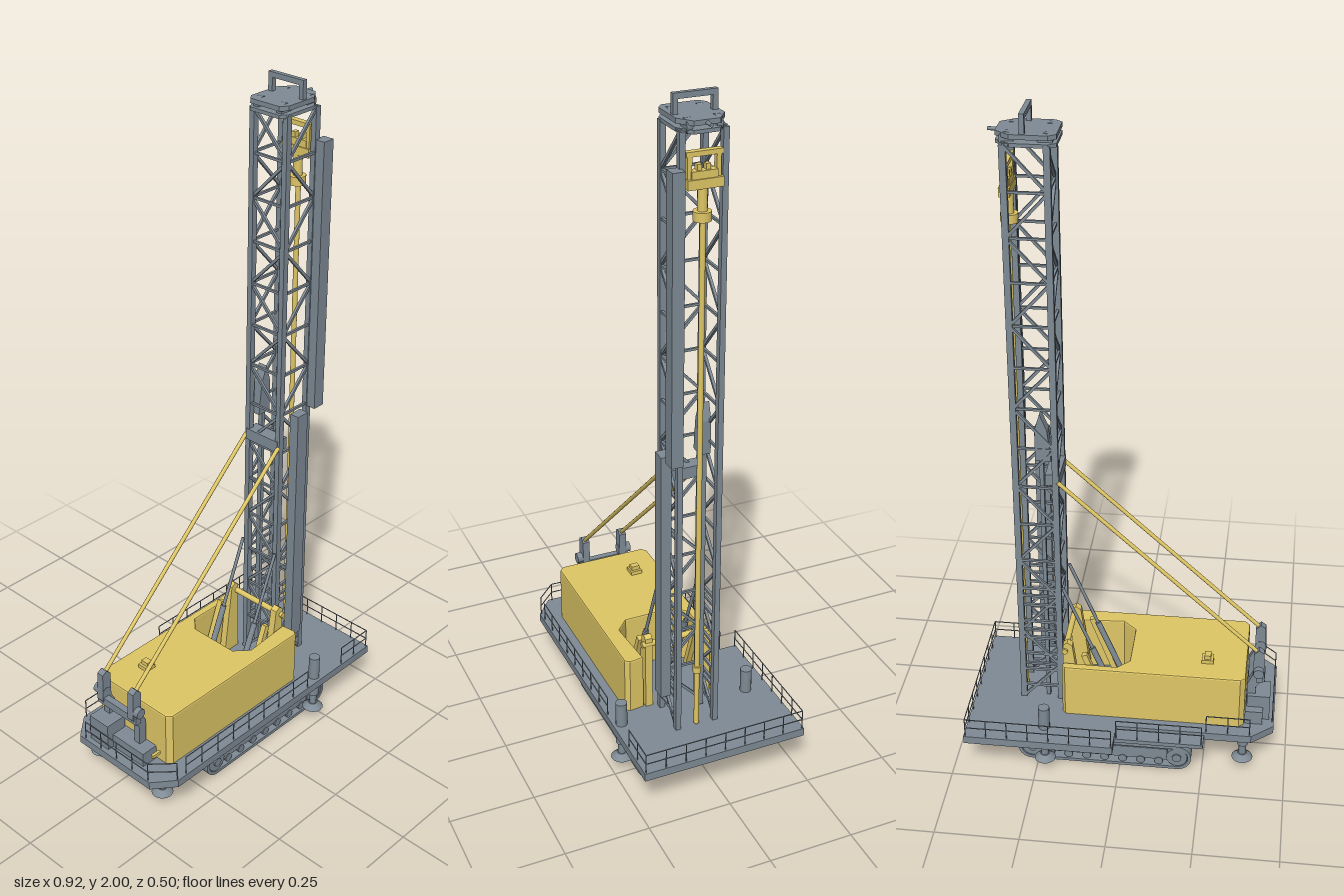
import * as THREE from 'three';
import { mergeGeometries } from 'three/addons/utils/BufferGeometryUtils.js';

const grey = new THREE.MeshStandardMaterial({ color: 0x7f8b95, side: THREE.DoubleSide });
const yellow = new THREE.MeshStandardMaterial({ color: 0xdfc766 });
const V = (x, y, z) => new THREE.Vector3(x, y, z);

// box given by its min / max along each axis
function box(x0, x1, y0, y1, z0, z1) {
  return new THREE.BoxGeometry(x1 - x0, y1 - y0, z1 - z0)
    .translate((x0 + x1) / 2, (y0 + y1) / 2, (z0 + z1) / 2);
}
function along(geo, a, b) {
  const dir = b.clone().sub(a).normalize();
  geo.applyQuaternion(new THREE.Quaternion().setFromUnitVectors(V(0, 1, 0), dir));
  const m = a.clone().add(b).multiplyScalar(0.5);
  return geo.translate(m.x, m.y, m.z);
}
const bar = (a, b, w) => along(new THREE.BoxGeometry(w, a.distanceTo(b), w), a, b);
const rod = (a, b, r, n = 10) => along(new THREE.CylinderGeometry(r, r, a.distanceTo(b), n), a, b);
const shapeOf = (pts, sign = 1) => new THREE.Shape(pts.map(([x, y]) => new THREE.Vector2(x, sign * y)));

// plan outline [x, z] raised from y0 to y1
function slab(pts, y0, y1, bevel = 0) {
  const g = new THREE.ExtrudeGeometry(shapeOf(pts, -1), {
    depth: y1 - y0 - bevel, bevelEnabled: bevel > 0, bevelSize: bevel, bevelThickness: bevel,
    bevelOffset: -bevel, bevelSegments: 2,
  });
  return g.rotateX(-Math.PI / 2).translate(0, y0, 0);
}
// side outline [x, y] between z0 and z1
function plate(pts, z0, z1) {
  return new THREE.ExtrudeGeometry(shapeOf(pts), { depth: z1 - z0, bevelEnabled: false }).translate(0, 0, z0);
}
function inset(pts, d) {
  const n = pts.length;
  return pts.map((p, i) => {
    const a = pts[(i + n - 1) % n], b = pts[(i + 1) % n];
    const u = new THREE.Vector2(p[0] - a[0], p[1] - a[1]).normalize();
    const v = new THREE.Vector2(b[0] - p[0], b[1] - p[1]).normalize();
    const k = d / (1 + u.dot(v));
    return [p[0] - (u.y + v.y) * k, p[1] + (u.x + v.x) * k];
  });
}
// wall joining two outlines at different heights
function skirt(top, yt, low, yl) {
  const pos = [];
  top.forEach((p, i) => {
    const j = (i + 1) % top.length;
    const a = [p[0], yt, p[1]], b = [top[j][0], yt, top[j][1]];
    const c = [low[j][0], yl, low[j][1]], d = [low[i][0], yl, low[i][1]];
    pos.push(...a, ...b, ...c, ...a, ...c, ...d);
  });
  const g = new THREE.BufferGeometry();
  g.setAttribute('position', new THREE.Float32BufferAttribute(pos, 3));
  g.computeVertexNormals();
  return g;
}

export function createModel() {
  const model = new THREE.Group();
  model.name = 'drillRig';
  const add = (name, geos, mat) => {
    const flat = geos.map((g) => {
      const f = g.index ? g.toNonIndexed() : g;
      f.deleteAttribute('uv');
      return f;
    });
    const mesh = new THREE.Mesh(mergeGeometries(flat), mat);
    mesh.name = name;
    model.add(mesh);
  };
  const ZC = 0.02, ZL = 0.08, ZR = -0.04;

  // deck with a tapered skirt, open below, and its cross beams
  const outline = [[-0.46, -0.1], [-0.395, -0.155], [0.01, -0.155], [0.01, -0.255],
    [0.457, -0.255], [0.457, 0.243], [-0.395, 0.243], [-0.46, 0.19]];
  add('deck', [slab(outline, 0.13, 0.155), skirt(outline, 0.13, inset(outline, 0.035), 0.105),
    box(-0.255, 0.01, 0.135, 0.148, -0.205, -0.158)], grey);
  add('deckBeams', [
    ...[-0.07, 0.11].map((z) => box(-0.42, 0.42, 0.105, 0.135, z - 0.012, z + 0.012)),
    ...[-0.3, -0.1, 0.1, 0.3].map((x) => box(x - 0.01, x + 0.01, 0.112, 0.135, x > 0.01 ? -0.21 : -0.12, 0.2))], grey);

  // hand rails: posts with two horizontal runs
  const rails = [];
  const runs = [
    [[-0.36, 0.238], [0.17, 0.238]], [[0.33, 0.238], [0.452, 0.238]], [[0.452, 0.238], [0.452, -0.25]],
    [[0.452, -0.25], [0.015, -0.25]], [[-0.455, -0.08], [-0.455, 0.18]], [[-0.455, 0.18], [-0.395, 0.238]],
    [[-0.25, -0.203], [0.005, -0.203]], [[-0.39, -0.15], [-0.26, -0.15]]];
  for (const [a, b] of runs) {
    const p = V(a[0], 0.15, a[1]), q = V(b[0], 0.15, b[1]);
    const n = Math.max(1, Math.round(p.distanceTo(q) / 0.065));
    for (let i = 0; i <= n; i++) {
      const c = p.clone().lerp(q, i / n);
      rails.push(rod(c, c.clone().setY(0.215), 0.0017, 5));
    }
    for (const y of [0.185, 0.215]) rails.push(rod(p.clone().setY(y), q.clone().setY(y), 0.0017, 5));
  }
  add('handRails', rails, grey);

  // machinery house with a pocket open towards the mast
  const house = [[-0.37, -0.1], [-0.355, -0.113], [0.17, -0.113], [0.18, -0.1], [0.175, -0.088], [0.015, -0.09],
    [-0.02, -0.055], [-0.02, 0.1], [0.02, 0.137], [0.175, 0.127], [0.18, 0.17], [0.17, 0.183], [-0.355, 0.183], [-0.37, 0.168]];
  add('machineryHouse', [slab(house, 0.155, 0.33, 0.005)], yellow);
  add('roofVent', [box(-0.27, -0.235, 0.33, 0.342, -0.045, -0.01), box(-0.262, -0.243, 0.34, 0.355, -0.04, -0.015)], yellow);

  // crawler tracks with wheels and side frames
  const xa = -0.174, xb = 0.269, R = 0.0435;
  const stadium = (r, Kind) => {
    const s = new Kind();
    s.absarc(xb, R, r, -Math.PI / 2, Math.PI / 2, false);
    s.absarc(xa, R, r, Math.PI / 2, Math.PI * 1.5, false);
    s.closePath();
    return s;
  };
  const tracks = [], frames = [];
  for (const z of [0.158, -0.122]) {
    const s = stadium(R, THREE.Shape);
    s.holes.push(stadium(R - 0.01, THREE.Path));
    tracks.push(new THREE.ExtrudeGeometry(s, { depth: 0.055, bevelEnabled: false, curveSegments: 12 }).translate(0, 0, z - 0.0275));
    for (const x of [xa, xb]) frames.push(rod(V(x, R, z - 0.025), V(x, R, z + 0.025), 0.032, 20), rod(V(x, R, z - 0.03), V(x, R, z + 0.03), 0.014, 12));
    for (let i = 1; i < 8; i++) {
      const x = xa + (xb - xa) * i / 8;
      frames.push(rod(V(x, 0.022, z - 0.022), V(x, 0.022, z + 0.022), 0.013, 12));
    }
    frames.push(box(xa + 0.03, xb - 0.03, 0.028, 0.068, z - 0.02, z + 0.02));
    frames.push(plate([[-0.1, 0.085], [0.2, 0.085], [0.17, 0.11], [-0.07, 0.11]], z - 0.018, z + 0.018));
  }
  add('tracks', tracks, grey);
  add('trackFrames', frames, grey);
  add('axles', [-0.05, 0.15].flatMap((x) => [box(x - 0.03, x + 0.03, 0.06, 0.1, -0.11, 0.145), box(x - 0.04, x + 0.04, 0.045, 0.11, ZC - 0.05, ZC + 0.05)]), grey);

  // levelling jacks
  const jacks = [];
  for (const [x, z, top] of [[0.224, 0.217, 0.23], [0.224, -0.183, 0.23], [-0.37, 0.15, 0.155], [-0.37, -0.11, 0.155]]) {
    jacks.push(rod(V(x, 0.09, z), V(x, top, z), 0.017, 14), rod(V(x, 0.045, z), V(x, 0.1, z), 0.011, 12));
    jacks.push(new THREE.CylinderGeometry(0.014, 0.032, 0.016, 16).translate(x, 0.046, z));
  }
  add('jacks', jacks, grey);

  // lattice mast: four chords, horizontals and zigzag diagonals
  const X0 = 0.194, X1 = 0.308, Y0 = 0.155, Y1 = 1.92, bays = 14;
  const chords = [], lacing = [];
  for (const x of [X0, X1]) for (const z of [ZL - 0.002, ZR + 0.002]) chords.push(box(x - 0.009, x + 0.009, Y0, Y1, z - 0.008, z + 0.008));
  const faces = [[X0, ZL, X1, ZL], [X0, ZR, X1, ZR], [X0, ZL, X0, ZR]];
  for (let i = 0; i < bays; i++) {
    const ya = Y0 + (Y1 - Y0) * i / bays, yb = Y0 + (Y1 - Y0) * (i + 1) / bays;
    for (const [ax, az, bx, bz] of faces) {
      lacing.push(bar(V(ax, yb, az), V(bx, yb, bz), 0.007));
      lacing.push(i % 2 ? bar(V(ax, ya, az), V(bx, yb, bz), 0.008) : bar(V(bx, ya, bz), V(ax, yb, az), 0.008));
    }
  }
  // denser lower section and the collar where the stays attach
  for (let y = 0.2; y < 0.62; y += 0.06) for (const z of [ZL, ZR]) lacing.push(bar(V(X0, y, z), V(X1, y, z), 0.008));
  lacing.push(box(X0 - 0.012, X0 + 0.03, 0.92, 0.955, ZR, ZL));
  add('mastChords', chords, grey);
  add('mastLacing', lacing, grey);

  // boxes beside the mast, the side carrier and the inner feed column
  add('mastBoxes', [box(0.302, 0.34, 1.03, 1.83, 0.08, 0.114), box(0.232, 0.274, 0.25, 1.03, 0.084, 0.114),
    plate([[0.205, 1], [0.25, 1], [0.25, 1.1], [0.235, 1.15], [0.215, 1.1]], -0.042, -0.012),
    box(0.228, 0.24, 0.16, 1.0, -0.035, -0.02)], grey);

  // crown platform with sheaves and an inverted U frame
  const crown = [[0.17, -0.03], [0.19, -0.045], [0.29, -0.045], [0.33, -0.015], [0.33, 0.055], [0.29, 0.085], [0.19, 0.085], [0.17, 0.07]];
  const head = [slab(crown, 1.915, 1.925), slab(crown, 1.935, 1.948), box(0.25, 0.264, 1.985, 2, ZR, ZL),
    rod(V(0.3, 1.94, ZC), V(0.355, 1.94, ZC), 0.005)];
  for (const z of [ZR + 0.007, ZL - 0.007]) head.push(box(0.25, 0.264, 1.945, 2, z - 0.007, z + 0.007));
  for (const x of [0.2, 0.3]) for (const z of [-0.02, 0.06]) head.push(rod(V(x, 1.93, z - 0.008), V(x, 1.93, z + 0.008), 0.02, 14));
  add('crown', head, grey);

  // drill pipe and rotary head
  add('drillPipe', [rod(V(0.312, 0.16, ZC), V(0.312, 1.72, ZC), 0.0075, 14), rod(V(0.312, 0.34, ZC), V(0.312, 0.36, ZC), 0.012, 14)], yellow);
  const rotary = [box(0.295, 0.325, 1.775, 1.8, -0.03, 0.067), box(0.298, 0.322, 1.8, 1.82, -0.015, 0.055),
    rod(V(0.308, 1.69, ZC), V(0.308, 1.715, ZC), 0.024, 14), rod(V(0.308, 1.71, ZC), V(0.308, 1.78, ZC), 0.013, 14),
    box(0.298, 0.316, 1.855, 1.868, -0.03, 0.067)];
  for (const z of [-0.02, 0.008, 0.032, 0.058]) rotary.push(box(0.3, 0.316, 1.8, z < 0 || z > 0.05 ? 1.86 : 1.835, z - 0.006, z + 0.006));
  add('rotaryHead', rotary, yellow);

  // mast pivot brackets with their cross shaft, and the raising cylinders
  const brackets = [rod(V(0.172, 0.37, -0.09), V(0.172, 0.37, 0.13), 0.009, 12)];
  for (const z of [-0.073, 0.11]) {
    brackets.push(plate([[0.12, 0.155], [0.18, 0.155], [0.178, 0.39], [0.165, 0.4], [0.15, 0.39]], z - 0.011, z + 0.011));
    brackets.push(bar(V(0.045, 0.165, z), V(0.115, 0.355, z), 0.017));
  }
  add('pivotBrackets', brackets, yellow);
  const cylinders = [];
  for (const z of [ZR - 0.005, ZL + 0.003]) {
    cylinders.push(rod(V(0.015, 0.165, z), V(0.095, 0.36, z), 0.009, 12), rod(V(0.09, 0.348, z), V(0.18, 0.57, z), 0.005, 10));
  }
  add('raisingCylinders', cylinders, grey);

  // rear gantry with sheaves, its base cabinet, and the mast stays
  const gantry = [box(-0.445, -0.376, 0.155, 0.24, -0.07, 0.005), box(-0.425, -0.372, 0.155, 0.2, -0.095, 0.13),
    box(-0.42, -0.4, 0.285, 0.31, -0.06, 0.1)];
  const stays = [box(-0.41, -0.38, 0.19, 0.2, 0.147, 0.156)];
  for (const z of [ZR - 0.005, ZL]) {
    gantry.push(plate([[-0.4, 0.155], [-0.374, 0.155], [-0.374, 0.275], [-0.39, 0.31], [-0.39, 0.385], [-0.405, 0.4],
      [-0.42, 0.39], [-0.424, 0.3], [-0.4, 0.265]], z - 0.011, z + 0.011));
    const out = z < ZC ? -1 : 1;
    gantry.push(rod(V(-0.407, 0.325, z - 0.02 + out * 0.008), V(-0.407, 0.325, z + 0.02 + out * 0.008), 0.016, 14));
    stays.push(rod(V(-0.405, 0.385, z), V(0.188, 0.935, z), 0.006, 10));
  }
  add('rearGantry', gantry, grey);
  add('mastStays', stays, yellow);

  return model;
}
